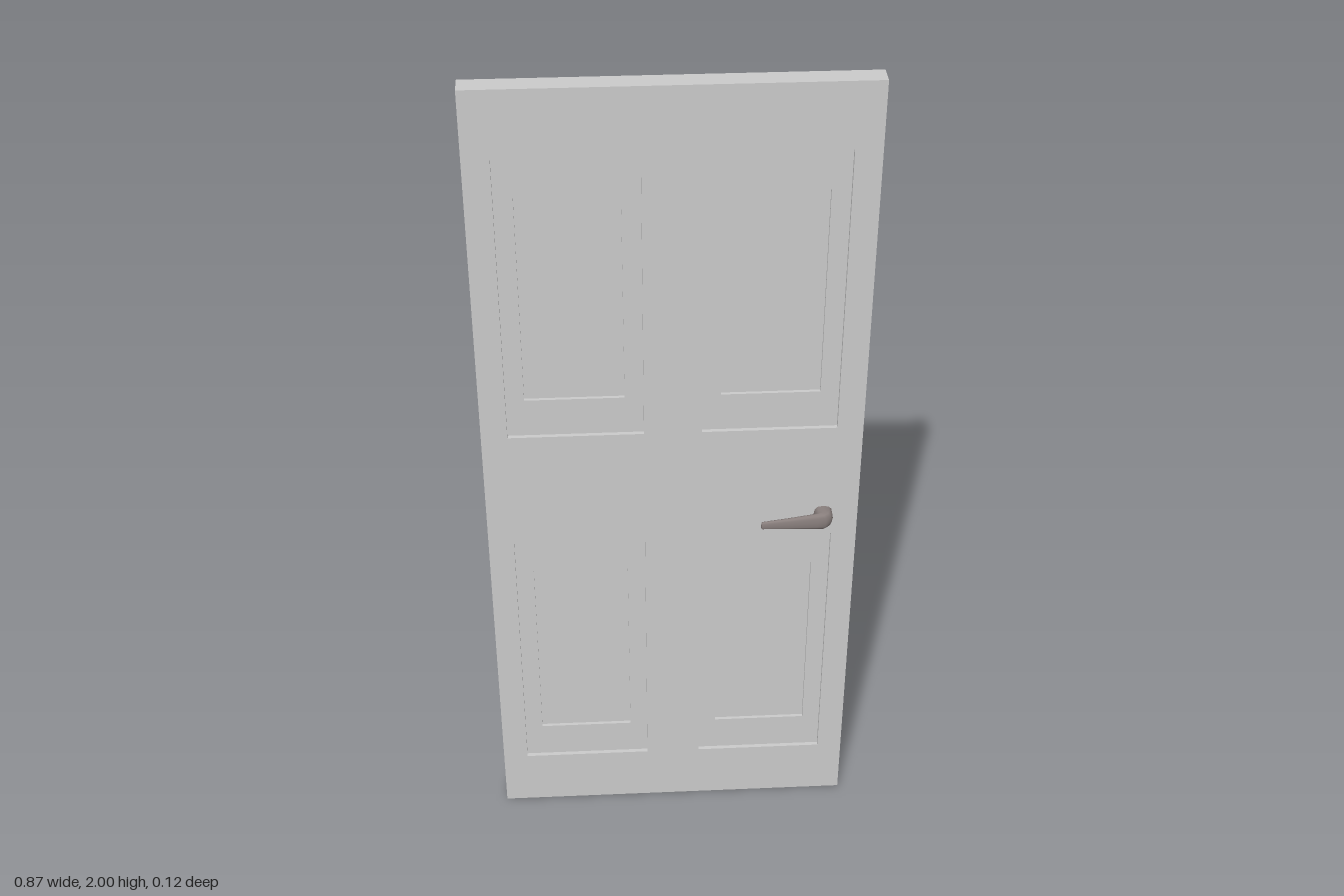
import * as THREE from 'three';

const DOOR_Z = -0.002;   // middle plane of the slab
const THICK = 0.05;

function rect(Type, x0, y0, x1, y1) {
  const r = new Type();
  r.moveTo(x0, y0);
  r.lineTo(x1, y0);
  r.lineTo(x1, y1);
  r.lineTo(x0, y1);
  r.closePath();
  return r;
}

// Plate with rectangular openings, centred on the slab's middle plane
function plate(name, outer, holes, depth, material) {
  const shape = rect(THREE.Shape, ...outer);
  for (const h of holes) shape.holes.push(rect(THREE.Path, ...h));
  const geometry = new THREE.ExtrudeGeometry(shape, { depth, bevelEnabled: false });
  geometry.translate(0, 0, DOOR_Z - depth / 2);
  const mesh = new THREE.Mesh(geometry, material);
  mesh.name = name;
  return mesh;
}

// Lever handle lofted through oval sections: inner x, z, outer x, z, centre y, half height
function leverGeometry(side) {
  const sections = [
    [0.330, 0.000, 0.373, 0.000, 0.908, 0.021],
    [0.330, 0.036, 0.373, 0.041, 0.908, 0.022],
    [0.329, 0.043, 0.368, 0.052, 0.908, 0.022],
    [0.326, 0.046, 0.355, 0.060, 0.908, 0.022],
    [0.315, 0.047, 0.335, 0.062, 0.908, 0.020],
    [0.265, 0.050, 0.270, 0.062, 0.906, 0.015],
    [0.207, 0.053, 0.207, 0.061, 0.904, 0.010],
    [0.204, 0.054, 0.204, 0.060, 0.904, 0.008],
    [0.204, 0.057, 0.204, 0.057, 0.904, 0.000],
  ];
  const n = 12, positions = [], index = [];
  // Slightly squared oval
  const soft = v => Math.sign(v) * Math.pow(Math.abs(v), 0.75);
  sections.forEach(([xi, zi, xo, zo, y, h], i) => {
    for (let j = 0; j < n; j++) {
      const a = (j / n) * Math.PI * 2;
      const c = soft(Math.cos(a)) / 2, s = soft(Math.sin(a));
      positions.push((xi + xo) / 2 + (xo - xi) * c, y + h * s, side * ((zi + zo) / 2 + (zo - zi) * c));
      if (i === sections.length - 1) continue;
      const p = i * n + j, q = i * n + (j + 1) % n;
      if (side > 0) index.push(p, q, p + n, q, q + n, p + n);
      else index.push(p, p + n, q, q, p + n, q + n);
    }
  });
  const geometry = new THREE.BufferGeometry();
  geometry.setAttribute('position', new THREE.Float32BufferAttribute(positions, 3));
  geometry.setIndex(index);
  geometry.computeVertexNormals();
  return geometry;
}

export function createModel() {
  const door = new THREE.Group();
  door.name = 'door';
  const wood = new THREE.MeshStandardMaterial({ color: 0xcccccc });
  const metal = new THREE.MeshStandardMaterial({ color: 0x8a807e });

  // Four stepped panels, sunk into both faces
  const openings = [];
  for (const y of [0.5, 1.5]) {
    for (const x of [-0.2195, 0.2195]) {
      const outer = [x - 0.154, y - 0.348, x + 0.154, y + 0.348];
      const inner = [x - 0.112, y - 0.254, x + 0.112, y + 0.254];
      openings.push(outer);
      door.add(plate('panelBorder', outer, [inner], THICK - 0.02, wood));
      door.add(plate('panelCentre', inner, [], THICK - 0.036, wood));
    }
  }

  // Stiles and rails
  door.add(plate('doorFrame', [-0.433, 0, 0.433, 2], openings, THICK, wood));

  // One lever on each face
  for (const side of [1, -1]) {
    const lever = new THREE.Mesh(leverGeometry(side), metal);
    lever.name = side > 0 ? 'frontHandle' : 'backHandle';
    door.add(lever);
  }
  return door;
}
